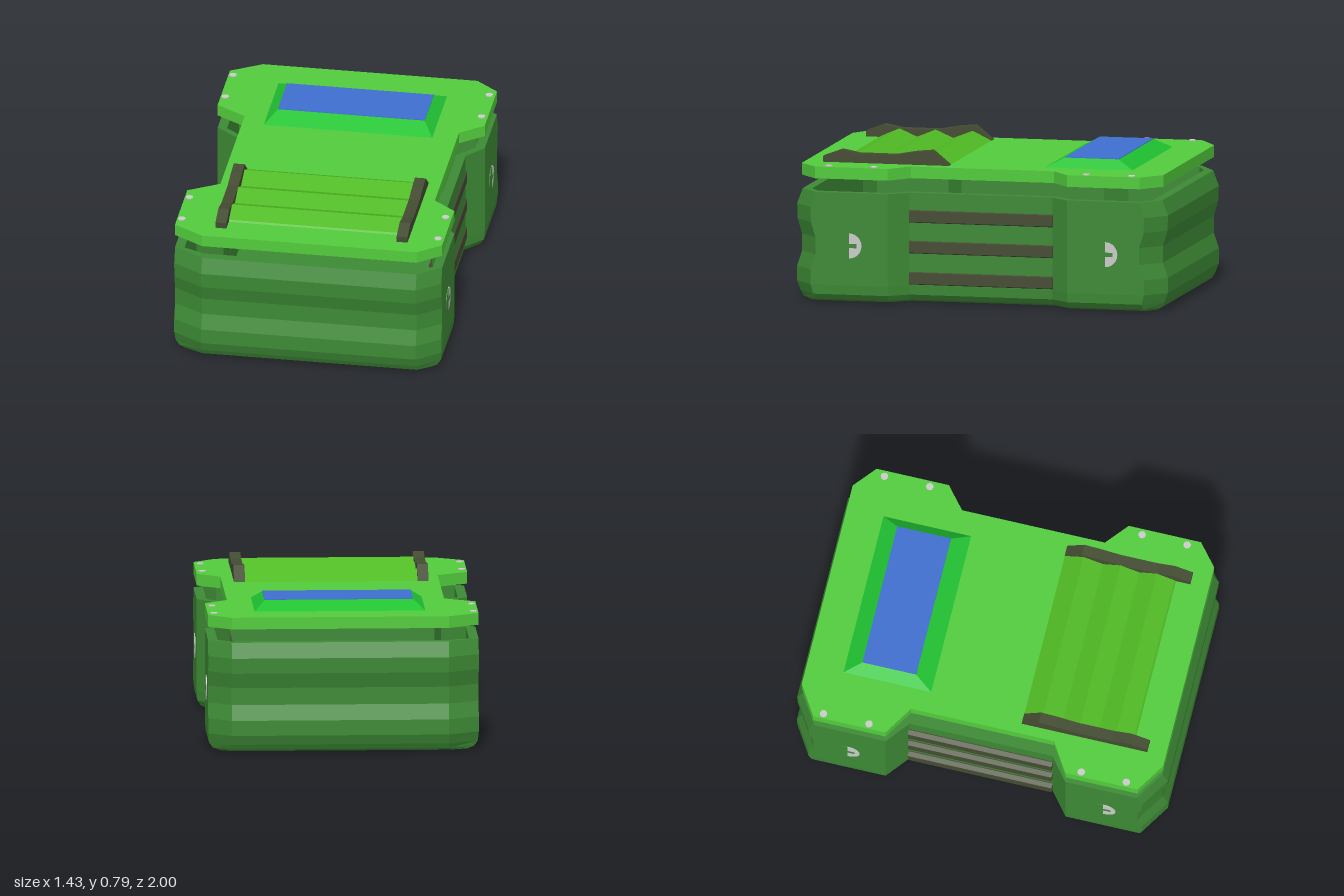
import * as THREE from 'three';

const mat = (color, extra = {}) => new THREE.MeshStandardMaterial({ color, flatShading: true, ...extra });
const bodyGreen = mat(0x3d8a35);
const lidGreen = mat(0x52cc3c);
const ridgeGreen = mat(0x50bb24);
const bezelGreen = mat(0x20c232);
const olive = mat(0x444c32);
const grey = mat(0xcccccc);
const blue = mat(0x3f6fcf);

// Skin a stack of rings (each counter-clockwise from above) and cap both ends
function loft(rings) {
  const pos = [];
  const tri = (...pts) => pts.forEach((p) => pos.push(...p));
  const n = rings[0].length;
  for (let r = 0; r < rings.length - 1; r++) {
    for (let i = 0; i < n; i++) {
      const j = (i + 1) % n;
      const [a, b] = [rings[r], rings[r + 1]];
      tri(a[i], a[j], b[j]);
      tri(a[i], b[j], b[i]);
    }
  }
  const cap = (ring, up) => {
    const flat = ring.map(([x, , z]) => new THREE.Vector2(x, -z));
    for (const [a, b, c] of THREE.ShapeUtils.triangulateShape(flat, [])) {
      const ccw = THREE.ShapeUtils.area([flat[a], flat[b], flat[c]]) > 0;
      if (ccw === up) tri(ring[a], ring[b], ring[c]);
      else tri(ring[a], ring[c], ring[b]);
    }
  };
  cap(rings[0], false);
  cap(rings[rings.length - 1], true);
  const geo = new THREE.BufferGeometry();
  geo.setAttribute('position', new THREE.Float32BufferAttribute(pos, 3));
  geo.computeVertexNormals();
  return geo;
}

// Waisted outline with chamfered corners
function outline(y, { end = 1, waist = 0.605, inset = 0 }) {
  const quarter = [[0.57, end - inset], [0.71 - inset, end - 0.1], [0.71 - inset, 0.485], [waist - inset, 0.385]];
  const place = (sx, sz) => quarter.map(([x, z], i) => [sx * x + (i === 0 || i === 3 ? 0.02 : 0), y, sz * z]);
  return [
    ...place(1, 1), ...place(1, -1).reverse(),
    ...place(-1, -1), ...place(-1, 1).reverse(),
  ];
}

const rect = (y, x0, x1, z0, z1) => [[x1, y, z1], [x1, y, z0], [x0, y, z0], [x0, y, z1]];

// Extrude a (z, y) profile along x
function extrudeX(points, x0, x1) {
  const shape = new THREE.Shape(points.map(([z, y]) => new THREE.Vector2(z, y)));
  return new THREE.ExtrudeGeometry(shape, { depth: x1 - x0, bevelEnabled: false })
    .rotateY(-Math.PI / 2).translate(x1, 0, 0);
}

// Half-exposed slotted screw, facing +z before placement
function screw() {
  const g = new THREE.Group();
  const add = (name, geo, m) => {
    const mesh = new THREE.Mesh(geo, m);
    mesh.name = name;
    g.add(mesh);
  };
  const half = (start) => new THREE.CylinderGeometry(0.066, 0.066, 0.008, 16, 1, false, start, Math.PI).rotateX(Math.PI / 2);
  add('screwHead', half(0), grey);
  add('screwCover', half(Math.PI), bodyGreen);
  add('screwSlot', new THREE.BoxGeometry(0.06, 0.022, 0.01).translate(0.01, 0, 0), bodyGreen);
  g.name = 'caseScrew';
  return g;
}

export function createModel() {
  const model = new THREE.Group();
  model.name = 'handheldDevice';
  const add = (name, geo, m) => {
    const mesh = new THREE.Mesh(geo, m);
    mesh.name = name;
    model.add(mesh);
    return mesh;
  };

  // Open lower case: wavy ends, rounded bottom edge, hollow inside
  const profile = [
    [0, 0.06, 1], [0.012, 0.025, 0.99], [0.04, 0.004, 0.985], [0.09, 0, 1], [0.17, 0, 1], [0.25, 0, 0.973],
    [0.34, 0, 0.973], [0.42, 0, 0.997], [0.5, 0, 1], [0.58, 0, 0.97], [0.58, 0.05, 0.97], [0.07, 0.05, 0.97],
  ];
  add('lowerCase', loft(profile.map(([y, inset, end]) => outline(y, { end, inset }))), bodyGreen);

  // Grip fins on both sides of the waist
  for (const y of [0.127, 0.292, 0.455]) {
    for (const s of [1, -1]) {
      const pts = [[0.56, -0.042], [0.61, -0.042], [0.633, -0.028], [0.633, 0.03], [0.61, 0.042], [0.56, 0.042]];
      const shape = new THREE.Shape(pts.map(([x, dy]) => new THREE.Vector2(s * x + 0.02 * (s < 0 ? 1 : 0), y + dy)));
      const geo = new THREE.ExtrudeGeometry(shape, { depth: 0.775, bevelEnabled: false });
      add('gripFin', geo.translate(0, 0, -0.388), olive);
    }
  }

  // Case screws on the sides and underneath
  for (const sx of [1, -1]) {
    for (const z of [0.69, -0.69]) {
      const side = screw();
      side.position.set(sx * 0.71, 0.3, z);
      side.rotation.y = sx * Math.PI / 2;
      const under = screw();
      under.position.set(sx * 0.435 + 0.02, 0.001, z);
      under.rotation.x = Math.PI / 2;
      model.add(side, under);
    }
  }

  // Lid plate floating above the case
  const lidOutline = (y) => outline(y, { end: 0.975, waist: 0.57 });
  add('lid', loft([lidOutline(0.652), lidOutline(0.714)]), lidGreen);
  for (const x of [-0.685, 0.677]) {
    for (const z of [-0.825, -0.58, 0.565, 0.808]) {
      add('lidScrew', new THREE.CylinderGeometry(0.02, 0.02, 0.012, 10).translate(x, 0.713, z), grey);
    }
  }

  // Raised screen with sloping bezel
  add('screenBezel', loft([rect(0.71, -0.44, 0.465, -0.785, -0.297), rect(0.762, -0.375, 0.405, -0.69, -0.4)]), bezelGreen);
  add('screen', loft([rect(0.755, -0.375, 0.405, -0.69, -0.4), rect(0.765, -0.375, 0.405, -0.69, -0.4)]), blue);

  // Ridged panel between two rails
  const ridges = [
    [0.195, 0.712], [0.8, 0.712], [0.79, 0.722], [0.695, 0.763], [0.6, 0.722],
    [0.5, 0.763], [0.405, 0.722], [0.3, 0.763],
  ];
  add('ridgedPanel', extrudeX(ridges, -0.44, 0.47), ridgeGreen);
  const rail = [
    [0.195, 0.712], [0.875, 0.712], [0.875, 0.745], [0.78, 0.78], [0.685, 0.762],
    [0.485, 0.762], [0.375, 0.782], [0.29, 0.79],
  ];
  for (const x of [-0.495, 0.468]) add('rail', extrudeX(rail, x, x + 0.058), olive);

  return model;
}
